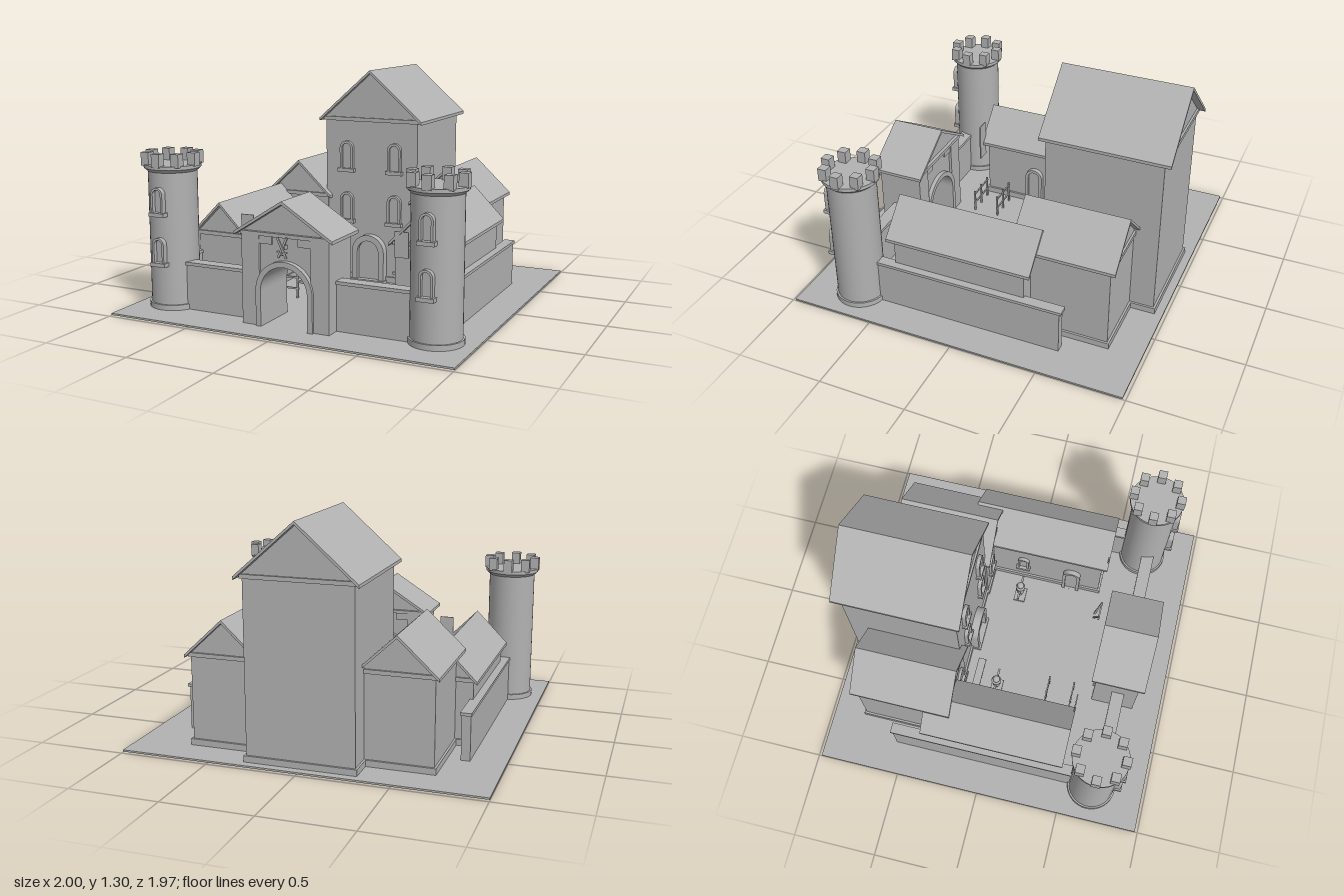
import * as THREE from 'three';

const stone = new THREE.MeshStandardMaterial({ color: 0xb2b2b2 });
stone.name = 'stone';

function add(parent, name, geometry, x = 0, y = 0, z = 0) {
  const mesh = new THREE.Mesh(geometry, stone);
  mesh.name = name;
  mesh.position.set(x, y, z);
  parent.add(mesh);
  return mesh;
}

// Box given by its limits on each axis
function block(parent, name, x0, x1, y0, y1, z0, z1) {
  return add(parent, name, new THREE.BoxGeometry(x1 - x0, y1 - y0, z1 - z0),
    (x0 + x1) / 2, (y0 + y1) / 2, (z0 + z1) / 2);
}

function extrude(shape, depth) {
  return new THREE.ExtrudeGeometry(shape, { depth, bevelEnabled: false, curveSegments: 16 });
}

function polygon(points) {
  return new THREE.Shape(points.map(([x, y]) => new THREE.Vector2(x, y)));
}

// Round-headed outline standing on y = base
function arch(PathType, halfW, base, spring) {
  const p = new PathType();
  p.moveTo(-halfW, base);
  p.lineTo(halfW, base);
  p.lineTo(halfW, spring);
  p.absarc(0, spring, halfW, 0, Math.PI, false);
  p.lineTo(-halfW, base);
  return p;
}

// Arched frame with a recessed pane and optional sill, facing +z
function opening(parent, name, x, y, z, width, height, depth, hasSill = true) {
  const g = new THREE.Group();
  g.name = name;
  g.position.set(x, y, z);
  parent.add(g);
  const r = width / 2, t = width * 0.17;
  const frame = arch(THREE.Shape, r, 0, height - r);
  frame.holes.push(arch(THREE.Path, r - t, hasSill ? t : 0.001, height - r));
  add(g, 'frame', extrude(frame, depth));
  add(g, 'pane', extrude(arch(THREE.Shape, r - t, 0, height - r), depth * 0.5));
  if (hasSill) block(g, 'sill', -r - 0.01, r + 0.01, -0.008, 0.014, 0, depth + 0.008);
  return g;
}

// Gabled building: walls, cornice, plinth and overhanging roof
function house(parent, name, cx, o) {
  const g = new THREE.Group();
  g.name = name;
  g.position.x = cx;
  parent.add(g);
  const t = 0.018, { roofW, wallW, eave, apex, roofZ, wallZ } = o;
  const shoulder = eave - t + (apex - eave) * (1 - wallW / roofW);
  add(g, 'walls', extrude(polygon([[-wallW, 0], [wallW, 0], [wallW, shoulder],
    [0, apex - t], [-wallW, shoulder]]), wallZ[1] - wallZ[0]), 0, 0, wallZ[0]);
  add(g, 'roof', extrude(polygon([[-roofW, eave - t], [0, apex - t], [roofW, eave - t],
    [roofW, eave], [0, apex], [-roofW, eave]]), roofZ[1] - roofZ[0]), 0, 0, roofZ[0]);
  block(g, 'cornice', -wallW - 0.012, wallW + 0.012, eave - 0.015, eave + 0.008,
    wallZ[0] - 0.012, wallZ[1] + 0.012);
  block(g, 'plinth', -wallW - 0.012, wallW + 0.012, 0, 0.045, wallZ[0] - 0.012, wallZ[1] + 0.012);
  return g;
}

// Round corner tower with crown, merlons and two front windows
function tower(parent, x, z) {
  const g = new THREE.Group();
  g.name = 'tower';
  g.position.set(x, 0, z);
  parent.add(g);
  const pieces = [['base', 0.146, 0.146, 0, 0.04], ['shaft', 0.136, 0.136, 0.04, 0.785],
    ['crownFlare', 0.158, 0.138, 0.78, 0.798], ['crown', 0.158, 0.158, 0.798, 0.818]];
  for (const [name, top, bottom, y0, y1] of pieces)
    add(g, name, new THREE.CylinderGeometry(top, bottom, y1 - y0, 40), 0, (y0 + y1) / 2);
  for (let i = 0; i < 8; i++) {
    const a = i * Math.PI / 4;
    add(g, 'merlon', new THREE.BoxGeometry(0.05, 0.075, 0.05),
      Math.cos(a) * 0.138, 0.848, Math.sin(a) * 0.138);
  }
  for (const y of [0.268, 0.548]) opening(g, 'towerWindow', 0, y, 0.115, 0.075, 0.153, 0.047);
}

export function createModel() {
  const castle = new THREE.Group();
  castle.name = 'castle';
  block(castle, 'ground', -1, 1, 0, 0.01, -0.983, 0.983);

  // Keep
  const keep = house(castle, 'keep', 0, { roofW: 0.333, wallW: 0.3, eave: 1.003, apex: 1.297,
    roofZ: [-0.967, -0.232], wallZ: [-0.925, -0.26] });
  for (const x of [-0.157, 0.157])
    for (const y of [0.37, 0.685]) opening(keep, 'keepWindow', x, y, -0.262, 0.086, 0.182, 0.024);
  opening(keep, 'keepDoor', 0, 0.01, -0.262, 0.21, 0.29, 0.05, false);
  block(keep, 'doorStep', -0.11, 0.11, 0, 0.025, -0.25, -0.2);

  for (const s of [-1, 1]) {
    // Side wing beside the keep
    const wing = house(castle, 'wing', s * 0.48, { roofW: 0.22, wallW: 0.195, eave: 0.525,
      apex: 0.73, roofZ: [-0.816, -0.222], wallZ: [-0.784, -0.25] });
    opening(wing, 'wingWindow', -s * 0.1, 0.2, -0.252, 0.086, 0.17, 0.018);

    // Long hall beside the courtyard
    const low = s < 0 ? 0.058 : 0;
    const hall = house(castle, 'hall', s * 0.617, { roofW: 0.183, wallW: 0.155,
      eave: 0.445 - low, apex: 0.63 - low, roofZ: [-0.38, 0.475], wallZ: [-0.337, 0.44] });
    const doorZ = s > 0 ? 0.26 : 0.115;
    const door = opening(hall, 'hallDoor', -s * 0.154, 0.01, doorZ, 0.11, 0.25, 0.03, false);
    door.rotation.y = -s * Math.PI / 2;
    const win = opening(hall, 'hallWindow', -s * 0.154, 0.16, -0.055, 0.07, 0.13, 0.022);
    win.rotation.y = -s * Math.PI / 2;

    // Hanging sign at the hall front
    const sx = s > 0 ? 0.51 : -0.43, sy = s > 0 ? 0.44 : 0.405, sh = s > 0 ? 0.07 : 0.115;
    block(castle, 'sign', sx - 0.04, sx + 0.04, sy - sh, sy + sh, 0.465, 0.472);

    // Curtain walls with coping
    block(castle, 'sideWall', s * 0.784 - 0.025, s * 0.784 + 0.025, 0, 0.262, -0.555, 0.62);
    block(castle, 'sideCoping', s * 0.784 - 0.031, s * 0.784 + 0.031, 0.26, 0.277, -0.568, 0.62);
    const mid = s * 0.455;
    block(castle, 'frontWall', mid - 0.215, mid + 0.215, 0, 0.265, 0.67, 0.732);
    block(castle, 'frontCoping', mid - 0.215, mid + 0.215, 0.262, 0.28, 0.663, 0.739);
    tower(castle, s * 0.787, 0.668);
  }

  // Gatehouse with arched passage
  const gate = new THREE.Group();
  gate.name = 'gatehouse';
  castle.add(gate);
  const wall = polygon([[-0.25, 0], [-0.138, 0], [-0.138, 0.205]]);
  wall.absarc(0, 0.205, 0.138, Math.PI, 0, true);
  for (const [x, y] of [[0.138, 0], [0.25, 0], [0.25, 0.52], [0, 0.68], [-0.25, 0.52]])
    wall.lineTo(x, y);
  add(gate, 'passageWalls', extrude(wall, 0.23), 0, 0, 0.57);
  for (const s of [-1, 1]) {
    block(gate, 'pillar', s * 0.205 - 0.053, s * 0.205 + 0.053, 0, 0.5, 0.555, 0.815);
    block(gate, 'pillarCorbel', s * 0.117 - 0.04, s * 0.117 + 0.04, 0.455, 0.5, 0.56, 0.812);
  }
  const ring = polygon([[-0.168, 0], [-0.138, 0], [-0.138, 0.205]]);
  ring.absarc(0, 0.205, 0.138, Math.PI, 0, true);
  ring.lineTo(0.138, 0);
  ring.lineTo(0.168, 0);
  ring.absarc(0, 0.205, 0.168, 0, Math.PI, false);
  add(gate, 'archTrim', extrude(ring, 0.285), 0, 0, 0.545);
  block(gate, 'gableBeam', -0.262, 0.262, 0.497, 0.517, 0.55, 0.82);
  add(gate, 'roof', extrude(polygon([[-0.29, 0.495], [0, 0.677], [0.29, 0.495],
    [0.29, 0.513], [0, 0.695], [-0.29, 0.513]]), 0.315), 0, 0, 0.53);

  // Crossed blades over the arch
  for (const s of [-1, 1]) {
    const blade = new THREE.Group();
    blade.name = 'crossedBlade';
    blade.position.set(0, 0.45, 0.838 + s * 0.004);
    blade.rotation.z = s * 0.45;
    gate.add(blade);
    block(blade, 'blade', -0.006, 0.006, -0.06, 0.06, -0.004, 0.004);
    block(blade, 'guard', -0.02, 0.02, -0.036, -0.028, -0.006, 0.006);
  }
  block(gate, 'bladeMount', -0.012, 0.012, 0.44, 0.46, 0.8, 0.836);

  // Training dummies in the courtyard
  for (const x of [-0.318, 0.318]) {
    const dummy = new THREE.Group();
    dummy.name = 'trainingDummy';
    dummy.position.set(x, 0, -0.042);
    castle.add(dummy);
    block(dummy, 'foot', -0.045, 0.045, 0, 0.025, -0.035, 0.035);
    add(dummy, 'post', new THREE.CylinderGeometry(0.009, 0.009, 0.16, 10), 0, 0.08);
    add(dummy, 'torso', new THREE.CylinderGeometry(0.03, 0.024, 0.07, 14), 0, 0.12);
    block(dummy, 'arms', -0.078, 0.078, 0.128, 0.142, -0.006, 0.006);
    add(dummy, 'head', new THREE.SphereGeometry(0.022, 14, 10), 0, 0.178);
  }

  // Bench, weapon racks and trestle
  block(castle, 'benchSeat', -0.38, -0.175, 0.045, 0.057, -0.192, -0.145);
  for (const x of [-0.36, -0.195]) block(castle, 'benchLeg', x - 0.008, x + 0.008, 0, 0.047, -0.185, -0.152);
  for (const z of [0.275, 0.43]) {
    for (const y of [0.06, 0.125]) block(castle, 'rackRail', -0.41, -0.21, y, y + 0.01, z - 0.004, z + 0.004);
    for (const x of [-0.4, -0.31, -0.22]) block(castle, 'rackPost', x - 0.005, x + 0.005, 0, 0.15, z - 0.005, z + 0.005);
  }
  block(castle, 'trestleBar', 0.235, 0.35, 0.1, 0.11, 0.482, 0.492);
  for (const s of [-1, 1]) {
    const leg = block(castle, 'trestleLeg', -0.005, 0.005, 0, 0.15, -0.005, 0.005);
    leg.position.set(0.292 + s * 0.03, 0.07, 0.47);
    leg.rotation.set(0.25, 0, -s * 0.25);
  }
  return castle;
}
